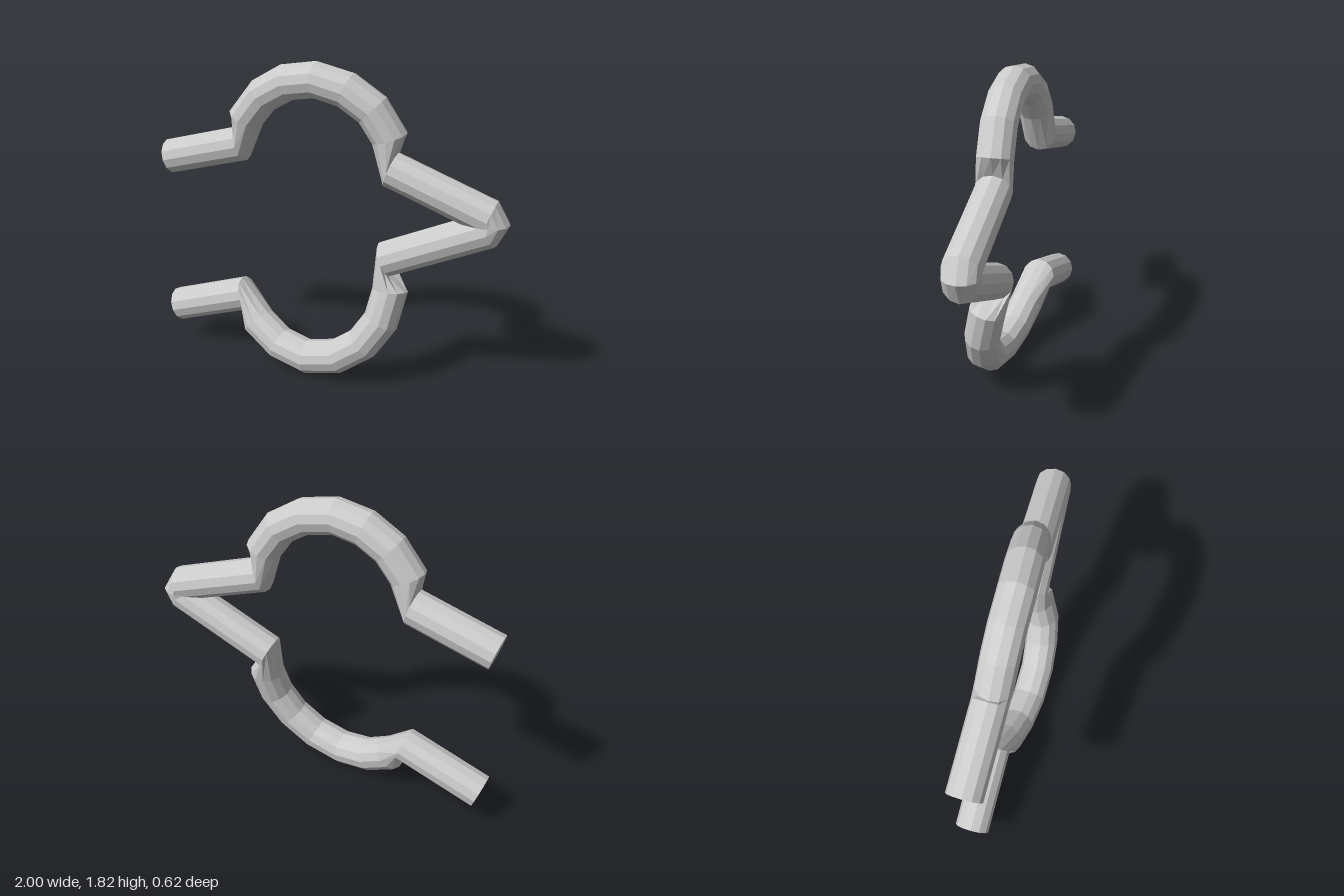
import * as THREE from 'three';

const RADIUS = 0.1;
const SIDES = 12;

// Centreline of the rod, from the upper free end to the lower one
const PATH = [
  [-0.965, 1.185, 0.21], [-0.5, 1.32, 0.115],                        // upper free leg
  [-0.46, 1.48, 0.12], [-0.355, 1.615, 0.1], [-0.215, 1.7, 0.07],    // upper loop
  [-0.05, 1.73, 0.035], [0.12, 1.69, -0.01], [0.26, 1.595, -0.05], [0.35, 1.45, -0.08],
  [0.365, 1.28, -0.08], [0.895, 1.08, -0.21],                        // upper leg to the tip
  [0.9, 1.05, -0.215],                                               // tip bend
  [0.895, 1.015, -0.21], [0.345, 0.755, -0.075],                     // lower leg from the tip
  [0.395, 0.59, -0.05], [0.37, 0.41, 0], [0.28, 0.26, 0.045],        // lower loop
  [0.135, 0.15, 0.09], [-0.05, 0.105, 0.125], [-0.235, 0.14, 0.14], [-0.395, 0.24, 0.14],
  [-0.5, 0.385, 0.115], [-0.965, 0.22, 0.21],                        // lower free leg
].map((p) => new THREE.Vector3(...p));
const LEG_STARTS = [0, 9, 12, 21];

// Straight legs end in square-cut rings; other rings face along the bend
function tangentAt(i) {
  let from = i - 1, to = i + 1;
  if (LEG_STARTS.includes(i)) from = i;
  else if (LEG_STARTS.includes(i - 1)) to = i;
  return PATH[to].clone().sub(PATH[from]).normalize();
}

// Rings carried along the path without twist
function buildRings() {
  let tangent = tangentAt(0);
  const normal = new THREE.Vector3(0, 1, 0).cross(tangent).normalize();
  const turn = new THREE.Quaternion();
  return PATH.map((centre, i) => {
    const next = tangentAt(i);
    normal.applyQuaternion(turn.setFromUnitVectors(tangent, next));
    tangent = next;
    const binormal = tangent.clone().cross(normal);
    return Array.from({ length: SIDES }, (_, j) => {
      const a = (j / SIDES) * Math.PI * 2;
      return centre.clone()
        .addScaledVector(normal, RADIUS * Math.cos(a))
        .addScaledVector(binormal, RADIUS * Math.sin(a));
    });
  });
}

function meshFrom(points, name) {
  const geometry = new THREE.BufferGeometry().setFromPoints(points);
  geometry.computeVertexNormals();
  const material = new THREE.MeshStandardMaterial({ color: 0xcccccc, flatShading: true });
  const mesh = new THREE.Mesh(geometry, material);
  mesh.name = name;
  return mesh;
}

export function createModel() {
  const group = new THREE.Group();
  group.name = 'bentRod';
  const rings = buildRings();
  const last = rings.length - 1;
  const wall = [], upperCap = [], lowerCap = [];

  for (let j = 0; j < SIDES; j++) {
    const k = (j + 1) % SIDES;
    for (let i = 0; i < last; i++) {
      const a = rings[i][j], b = rings[i][k], c = rings[i + 1][k], d = rings[i + 1][j];
      wall.push(a, b, c, a, c, d);
    }
    upperCap.push(PATH[0], rings[0][k], rings[0][j]);
    lowerCap.push(PATH[last], rings[last][j], rings[last][k]);
  }

  group.add(
    meshFrom(wall, 'rod'),
    meshFrom(upperCap, 'upperEndCap'),
    meshFrom(lowerCap, 'lowerEndCap'),
  );
  return group;
}
